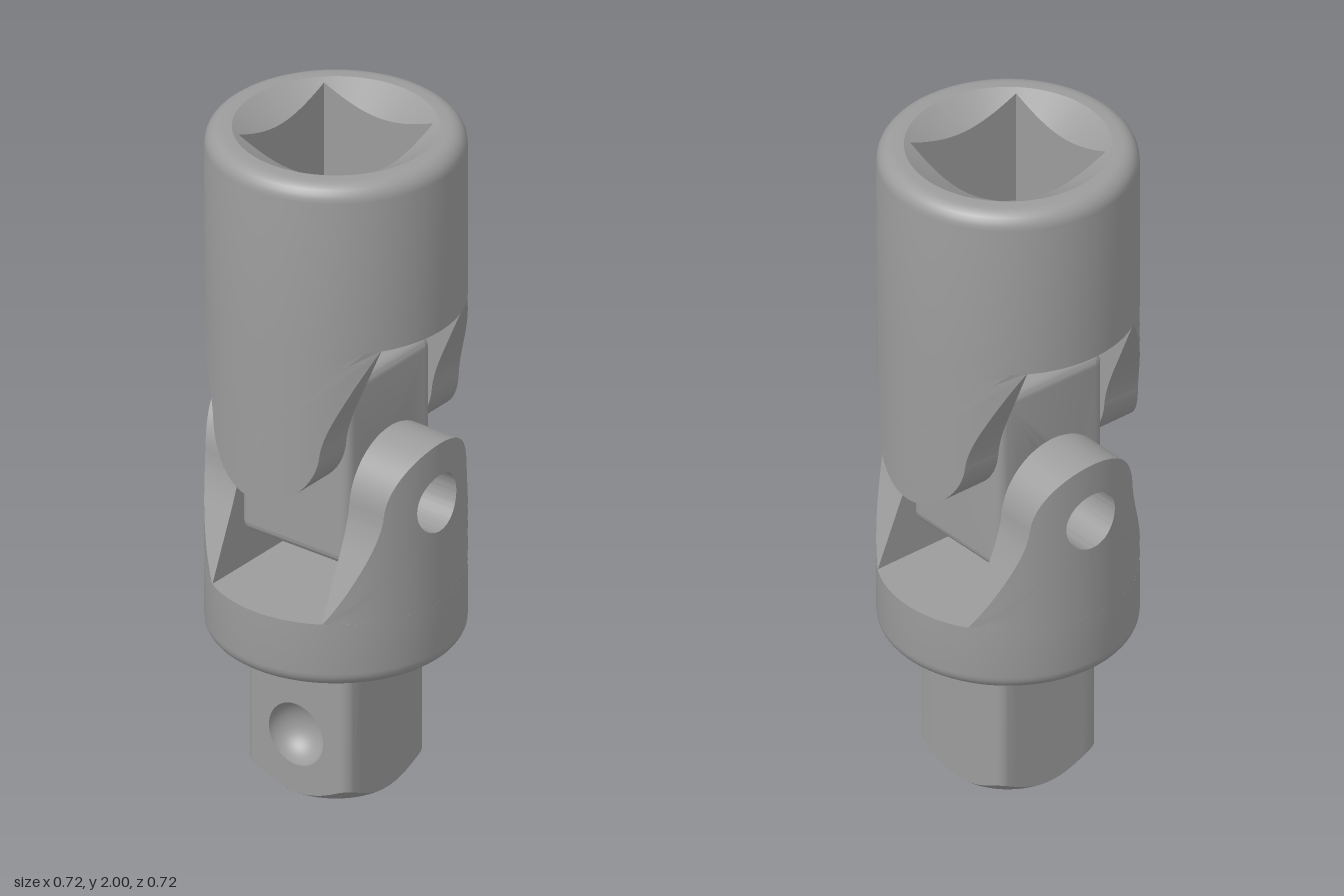
import * as THREE from 'three';
import { toCreasedNormals } from 'three/addons/utils/BufferGeometryUtils.js';

const R = 0.361;     // outer radius of both yokes
const SLOT = 0.19;   // half width of the yoke slots and of the square socket
const PIN = 0.087;   // pin hole radius
const material = new THREE.MeshStandardMaterial({ color: 0x9c9c9c });
const lerp = THREE.MathUtils.lerp;

function add(group, name, geometry, mat = material) {
  const mesh = new THREE.Mesh(geometry, mat);
  mesh.name = name;
  group.add(mesh);
  return mesh;
}

// Surface through a list of cross-sections, each a list of [x, y, z]
function loft(sections) {
  const pos = [];
  for (let i = 0; i < sections.length - 1; i++) {
    for (let j = 0; j < sections[0].length - 1; j++) {
      const a = sections[i][j], b = sections[i + 1][j];
      const c = sections[i + 1][j + 1], d = sections[i][j + 1];
      pos.push(...a, ...b, ...c, ...a, ...c, ...d);
    }
  }
  const g = new THREE.BufferGeometry();
  g.setAttribute('position', new THREE.Float32BufferAttribute(pos, 3));
  return toCreasedNormals(g, 0.4);
}

// Turned surface whose [radius, y] profile may depend on the angle
function revolve(angles, profile) {
  return loft(angles.map(t => profile(t).map(([r, y]) => [r * Math.sin(t), y, r * Math.cos(t)])));
}

const squareRadius = (half, t) => half / Math.max(Math.abs(Math.cos(t)), Math.abs(Math.sin(t)));
const fullTurn = Array.from({ length: 193 }, (_, i) => (i / 192) * Math.PI * 2);

// Quarter-round edge in [radius, y], between two angles
function fillet(cr, cy, r, from, to) {
  return Array.from({ length: 7 }, (_, i) => {
    const a = lerp(from, to, i / 6);
    return [cr + r * Math.cos(a), cy + r * Math.sin(a)];
  });
}

// Flared yoke arm with a round end; its outside lies on the cylinder of radius R
function armGeometry(hole) {
  const end = 0.185, bx = 0.306, by = -0.305, start = 0.087;
  const V = (x, y) => new THREE.Vector2(x, y);
  const side = [
    ...new THREE.LineCurve(V(bx, by), V(0.222, -0.11)).getPoints(10),
    ...new THREE.QuadraticBezierCurve(V(0.222, -0.11), V(0.188, -0.03),
      V(end * Math.cos(start), end * Math.sin(start))).getPoints(8).slice(1),
  ].map(p => [p.x, p.y]);
  const tip = Array.from({ length: 35 }, (_, i) => {
    const a = lerp(start, Math.PI - start, (i + 1) / 36);
    return [end * Math.cos(a), end * Math.sin(a)];
  });
  const mirrored = side.map(([x, y]) => [-x, y]).reverse();
  const base = Array.from({ length: 24 }, (_, i) => [lerp(-bx, bx, (i + 1) / 24), by]);
  const outline = [...side, ...tip, ...mirrored, ...base];

  const outer = x => Math.max(SLOT, Math.sqrt(R * R - x * x));
  return loft(outline.reverse().map(([x, y]) => {
    const d = Math.hypot(x, y), section = [];
    for (let j = 0; j <= 8; j++) {
      const k = lerp(hole / d, 1, j / 8);
      section.push([x * k, y * k, outer(x * k)]);
    }
    const k = hole / d;
    section.push([x, y, SLOT], [x * k, y * k, SLOT]);
    if (hole) section.push(section[0]);
    return section;
  }));
}

// Socket body with a conical lead-in to a square through hole
function buildSocket() {
  const g = new THREE.Group();
  g.name = 'socketYoke';
  add(g, 'socketBody', revolve(fullTurn, t => {
    const s = squareRadius(SLOT, t);
    return [[s, 1.48], [R, 1.48], ...fillet(R - 0.05, 1.95, 0.05, 0, Math.PI / 2),
      [0.285, 2], [s, 2 - (0.285 - s) * 0.6], [s, 1.48]];
  }));
  for (const turn of [0, Math.PI]) {
    const arm = add(g, 'socketArm', armGeometry(0));
    arm.rotation.set(0, turn, Math.PI);
    arm.position.y = 1.175;
  }
  return g;
}

// Lower yoke with pin holes and a flared collar above the drive
function buildDriveYoke() {
  const g = new THREE.Group();
  g.name = 'driveYoke';
  const profile = [[0, 0.41], ...fillet(0.28, 0.41, 0.03, Math.PI, Math.PI / 2),
    ...fillet(R - 0.045, 0.485, 0.045, -Math.PI / 2, 0), [R, 0.64], [0, 0.64]];
  add(g, 'yokeBase', revolve(fullTurn, () => profile));
  for (const turn of [-1, 1]) {
    const arm = add(g, 'yokeArm', armGeometry(PIN));
    arm.rotation.y = turn * Math.PI / 2;
    arm.position.y = 0.945;
  }
  return g;
}

// Square drive with rounded edges, a conical tip and a detent dimple in front
function buildDrive() {
  const g = new THREE.Group();
  g.name = 'squareDrive';
  const half = 0.178, round = 0.036, flat = half - round, top = 0.42, steps = 14;
  const a = Math.atan(flat / half);
  const radius = t => {
    const [n, m] = [Math.abs(Math.cos(t)), Math.abs(Math.sin(t))].sort((p, q) => p - q);
    if (half * n / m <= flat) return half / m;
    return flat * (m + n) + Math.sqrt(round ** 2 - (flat * (m - n)) ** 2);
  };
  const tipY = r => (r - half) * 0.85;
  const angles = [];
  for (let k = 0; k < 4; k++) {
    const mid = k * Math.PI / 2;
    for (let i = 0; i <= steps; i++) angles.push(mid + lerp(-a, a, i / steps));
    for (let i = 1; i < 8; i++) angles.push(mid + lerp(a, Math.PI / 2 - a, i / 8));
  }
  angles.push(Math.PI * 2 - a);
  add(g, 'driveTip', revolve(angles, t => [[0, 0], [half, 0], [radius(t), tipY(radius(t))]]));
  add(g, 'driveSides', revolve(angles.slice(steps), t => [[radius(t), tipY(radius(t))], [radius(t), top]]));

  const pts = angles.slice(0, steps + 1).map(t =>
    new THREE.Vector2(half * Math.tan(t), tipY(radius(t))));
  const face = new THREE.Shape([...pts, new THREE.Vector2(flat, top), new THREE.Vector2(-flat, top)]);
  face.holes.push(new THREE.Path().absarc(0, 0.18, 0.094, 0, Math.PI * 2, true));
  add(g, 'driveFront', new THREE.ShapeGeometry(face, 24).translate(0, 0, half));

  const dimple = new THREE.SphereGeometry(0.094, 48, 12, 0, Math.PI * 2, 0, Math.PI / 2);
  dimple.rotateX(-Math.PI / 2).scale(1, 1, 0.85).translate(0, 0.18, half);
  const inside = material.clone();
  inside.side = THREE.BackSide;
  add(g, 'detentDimple', dimple, inside);
  return g;
}

// Rounded centre block with a cross hole for the pin
function blockGeometry() {
  const w = 0.188, h = 0.286, r = 0.032, b = 0.03, q = Math.PI / 2;
  const shape = new THREE.Shape();
  [[1, 1], [-1, 1], [-1, -1], [1, -1]].forEach(([sx, sy], i) =>
    shape.absarc(sx * (w - r), sy * (h - r), r, i * q, (i + 1) * q, false));
  shape.closePath();
  shape.holes.push(new THREE.Path().absarc(0, -0.1, PIN, 0, Math.PI * 2, true));
  const g = new THREE.ExtrudeGeometry(shape, {
    depth: 2 * (w - b), bevelThickness: b, bevelSize: b, bevelOffset: -b,
    bevelSegments: 5, curveSegments: 16,
  });
  g.translate(0, 0, -(w - b)).rotateY(q).translate(0, 1.045, 0);
  return toCreasedNormals(g, 0.55);
}

export function createModel() {
  const model = new THREE.Group();
  model.name = 'universalJoint';
  model.add(buildSocket(), buildDriveYoke(), buildDrive());
  add(model, 'centreBlock', blockGeometry());
  return model;
}
